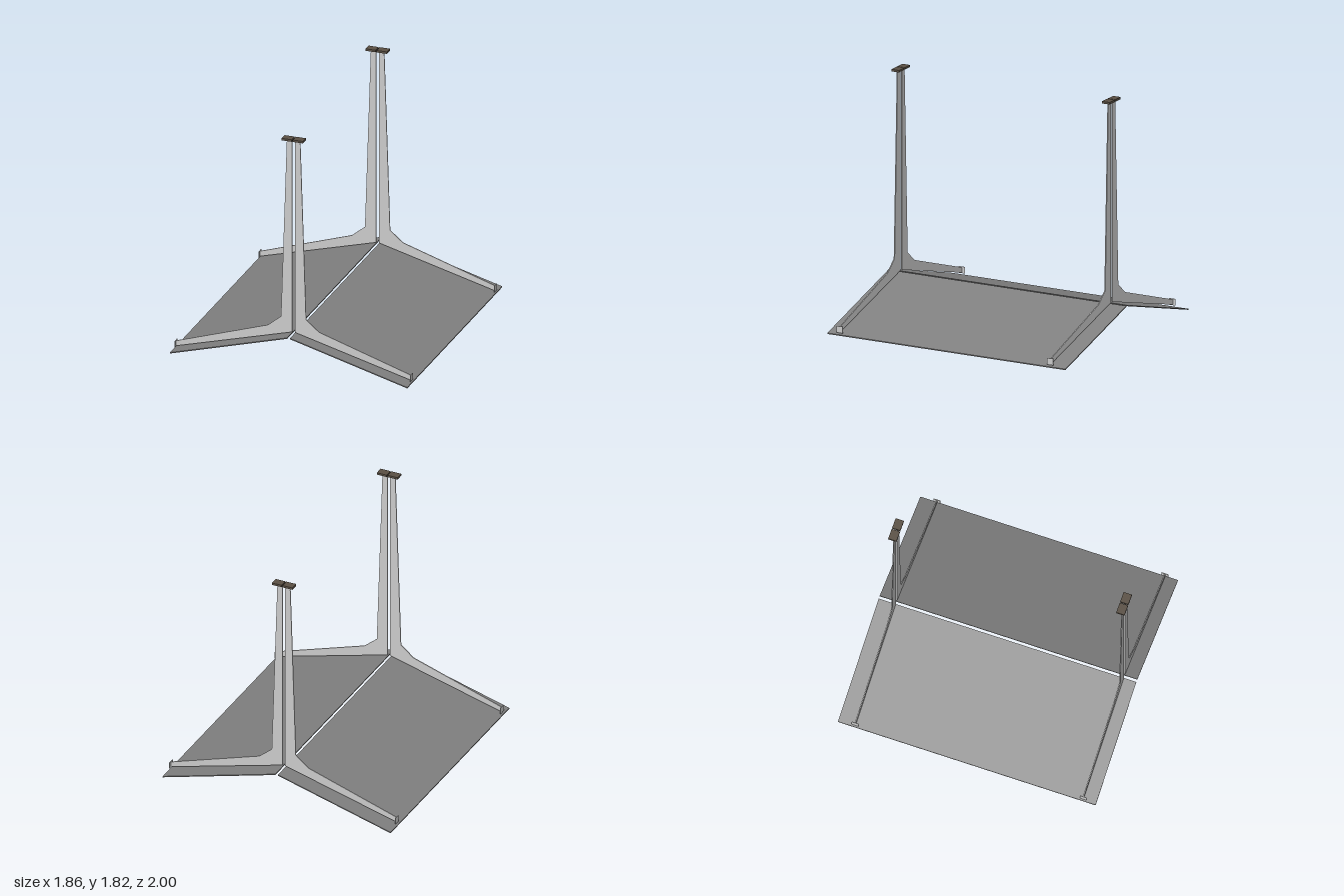
import * as THREE from 'three';

const steel = new THREE.MeshStandardMaterial({ color: 0xcccccc, flatShading: true });
const sheet = new THREE.MeshStandardMaterial({ color: 0x808080, flatShading: true });
const padMat = new THREE.MeshStandardMaterial({ color: 0x5a5044, flatShading: true });

const OFFSET = 0.003;          // frames sit slightly off the centre line
const FRAME_Z = [0.9, -0.87];

function add(parent, name, geometry, material, x = 0, y = 0, z = 0) {
  const mesh = new THREE.Mesh(geometry, material);
  mesh.name = name;
  mesh.position.set(x, y, z);
  parent.add(mesh);
  return mesh;
}

// Extrude an outline in x/y, centred on z; side = -1 mirrors it in x
function plate(points, depth, side) {
  const shape = new THREE.Shape(points.map(([x, y]) => new THREE.Vector2(x * side, y)));
  return new THREE.ExtrudeGeometry(shape, { depth, bevelEnabled: false }).translate(0, 0, -depth / 2);
}

// Tapered column running into a sloping arm
const webOutline = [
  [0.011, 0.272], [0.921, 0.025], [0.921, 0.065], [0.2, 0.3],
  [0.098, 0.384], [0.052, 1.805], [0.011, 1.805],
];

// Thin sloping sheet under the arms
const panelOutline = [[0.011, 0.255], [0.929, 0], [0.929, 0.008], [0.011, 0.263]];

function halfFrame(side) {
  const half = new THREE.Group();
  half.name = side > 0 ? 'leftHalfFrame' : 'rightHalfFrame';
  add(half, 'columnAndArm', plate(webOutline, 0.008, side), steel);
  add(half, 'endPlate', new THREE.BoxGeometry(0.004, 0.05, 0.052), steel, side * 0.921, 0.046);
  add(half, 'topPad', new THREE.BoxGeometry(0.08, 0.016, 0.064), padMat, side * 0.044, 1.812);
  return half;
}

export function createModel() {
  const model = new THREE.Group();
  model.name = 'frameStructure';

  // Two sloping panels along the full length
  for (const side of [1, -1]) {
    add(model, side > 0 ? 'leftPanel' : 'rightPanel', plate(panelOutline, 2, side), sheet);
  }

  // Front and back frames, each of two mirrored halves
  FRAME_Z.forEach((z, i) => {
    const frame = new THREE.Group();
    frame.name = i === 0 ? 'frontFrame' : 'backFrame';
    frame.add(halfFrame(1), halfFrame(-1));
    frame.position.set(OFFSET, 0, z);
    model.add(frame);
  });

  return model;
}
